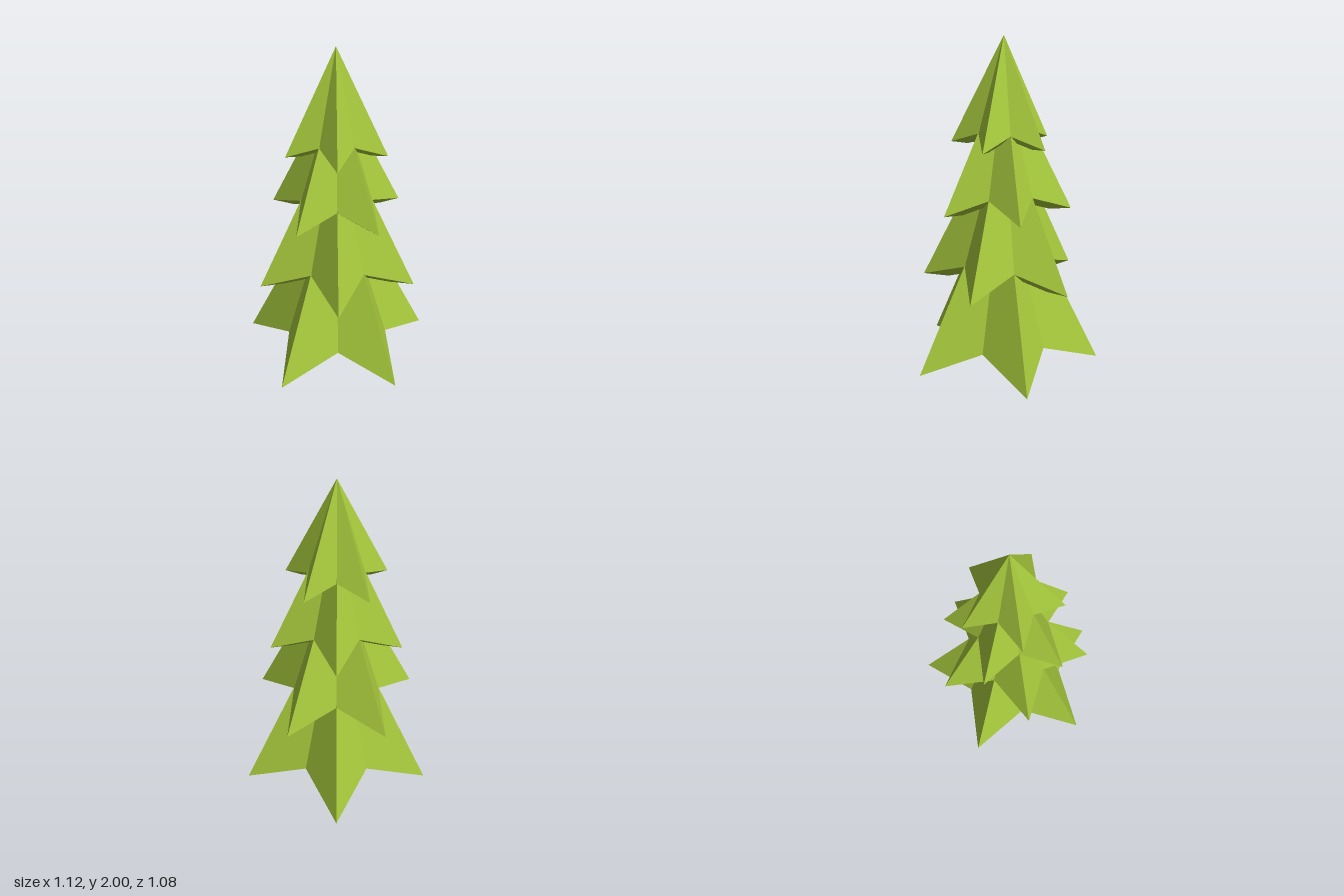
import * as THREE from 'three';

const POINTS = 5;
const CENTRE_Z = -0.05;
const VALLEY = 0.547;  // valley radius relative to tip radius
const RISE = 0.235;    // valley height above the tips, relative to tip radius

// Star-shaped ring of alternating tips and valleys around the trunk axis
function starRing(radius, y, turn) {
  const ring = [];
  for (let i = 0; i < POINTS * 2; i++) {
    const tip = i % 2 === 0;
    const a = turn + (i * Math.PI) / POINTS;
    const r = tip ? radius : radius * VALLEY;
    ring.push([r * Math.sin(a), tip ? y : y + radius * RISE, r * Math.cos(a)]);
  }
  return ring;
}

// One layer of boughs: pointed star cone, underside rim and inner cap
function tierGeometry({ radius, y, top, turn, innerScale, innerY, capY }) {
  const outer = starRing(radius, y, turn);
  const inner = starRing(radius * innerScale, innerY, turn);
  const apex = [0, top, 0];
  const cap = [0, capY, 0];
  const pos = [];
  const tri = (a, b, c) => pos.push(...a, ...b, ...c);
  for (let i = 0; i < outer.length; i++) {
    const j = (i + 1) % outer.length;
    tri(outer[i], outer[j], apex);
    tri(outer[j], outer[i], inner[i]);
    tri(outer[j], inner[i], inner[j]);
    tri(inner[j], inner[i], cap);
  }
  const geo = new THREE.BufferGeometry();
  geo.setAttribute('position', new THREE.Float32BufferAttribute(pos, 3));
  geo.computeVertexNormals();
  return geo;
}

export function createModel() {
  const tree = new THREE.Group();
  tree.name = 'pineTree';
  const foliage = new THREE.MeshStandardMaterial({ color: 0xa6c83c, flatShading: true });

  // Tiers from the ground up; every second one is turned by half a turn
  const tiers = [
    { name: 'bottomBoughs', radius: 0.59, y: 0, top: 1.2, innerScale: 0.64, innerY: 0.12, capY: 0.21 },
    { name: 'lowerBoughs', radius: 0.494, y: 0.527, top: 1.53, innerScale: 0.69, innerY: 0.515, capY: 0.59 },
    { name: 'upperBoughs', radius: 0.405, y: 0.98, top: 1.8, innerScale: 0.69, innerY: 0.97, capY: 1.03 },
    { name: 'topBoughs', radius: 0.31, y: 1.375, top: 2, innerScale: 0.69, innerY: 1.365, capY: 1.41 },
  ];
  tiers.forEach((tier, i) => {
    const turn = i % 2 ? Math.PI : 0;
    const mesh = new THREE.Mesh(tierGeometry({ ...tier, turn }), foliage);
    mesh.name = tier.name;
    mesh.position.z = CENTRE_Z;
    tree.add(mesh);
  });
  return tree;
}
